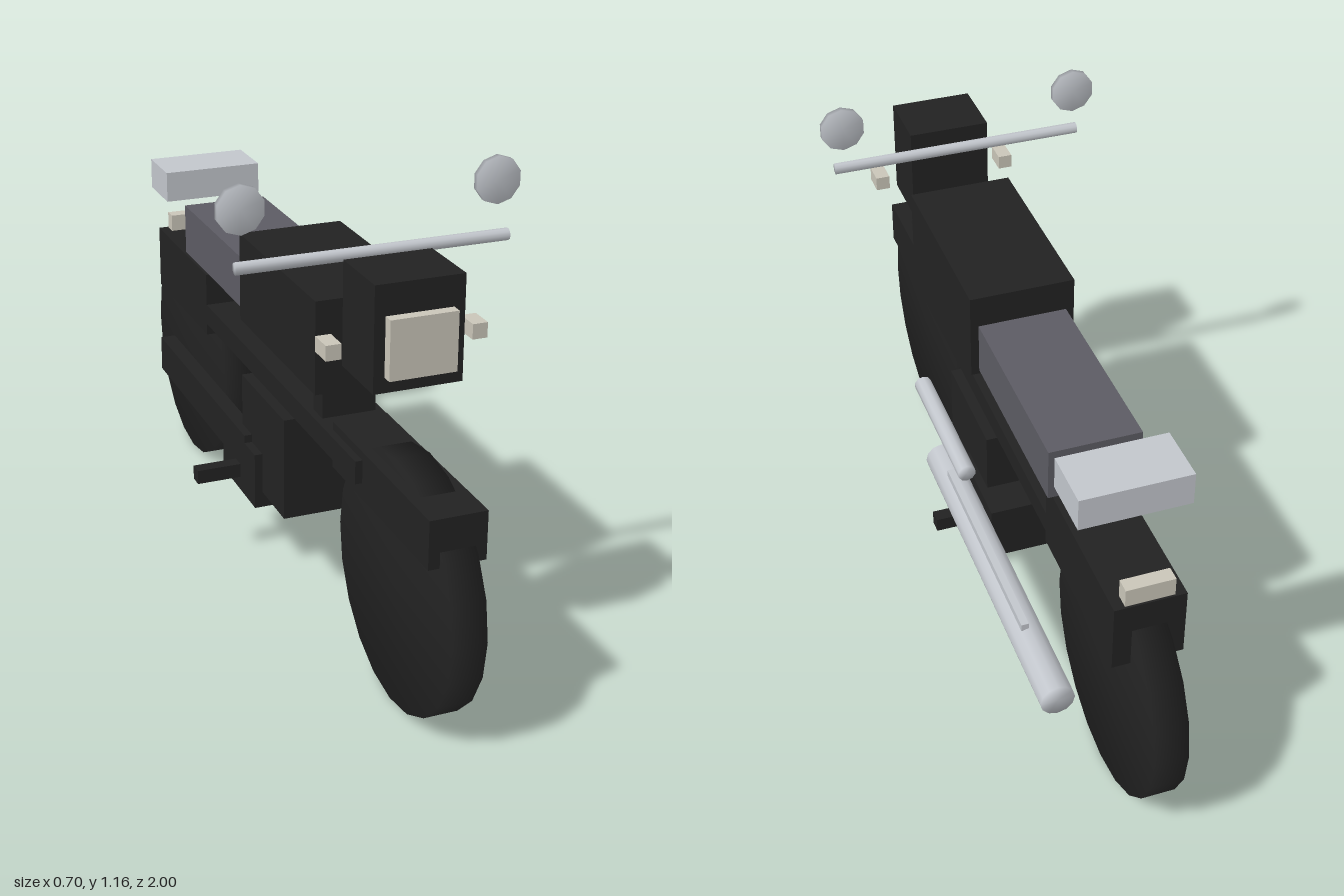
import * as THREE from 'three';
import { mergeVertices } from 'three/addons/utils/BufferGeometryUtils.js';

const material = (name, color) => {
  const m = new THREE.MeshStandardMaterial({ color });
  m.name = name;
  return m;
};

export function createModel() {
  const black = material('black', 0x222222);
  const seatGrey = material('seat grey', 0x5c5b63);
  const silver = material('silver', 0xc2c6cc);
  const cream = material('cream lens', 0xc9c5b8);

  const group = new THREE.Group();
  group.name = 'motorcycle';

  const add = (name, geometry, mat) => {
    const mesh = new THREE.Mesh(geometry, mat);
    mesh.name = name;
    group.add(mesh);
    return mesh;
  };

  // Box given by its min and max on each axis
  const box = (name, mat, [x0, x1], [y0, y1], [z0, z1]) =>
    add(name, new THREE.BoxGeometry(x1 - x0, y1 - y0, z1 - z0), mat)
      .position.set((x0 + x1) / 2, (y0 + y1) / 2, (z0 + z1) / 2);

  // Cylinder with shared normals, so the caps shade softly into the sides
  const rod = (name, mat, axis, radius, length, sides, x, y, z) => {
    let g = new THREE.CylinderGeometry(radius, radius, length, sides);
    g.deleteAttribute('normal');
    g.deleteAttribute('uv');
    g = mergeVertices(g);
    g.computeVertexNormals();
    if (axis === 'x') g.rotateZ(Math.PI / 2);
    else g.rotateX(Math.PI / 2);
    add(name, g, mat).position.set(x, y, z);
  };

  // Wheels
  rod('frontWheel', black, 'x', 0.297, 0.08, 20, 0, 0.3, 0.704);
  rod('rearWheel', black, 'x', 0.297, 0.08, 20, 0, 0.3, -0.704);

  // Frame, fenders and neck
  box('frame', black, [-0.083, 0.083], [0.49, 0.545], [-0.44, 0.59]);
  box('frontFender', black, [-0.066, 0.066], [0.452, 0.565], [0.42, 0.93]);
  box('rearFender', black, [-0.083, 0.083], [0.46, 0.63], [-0.845, -0.425]);
  box('neck', black, [-0.066, 0.066], [0.54, 0.665], [0.302, 0.357]);

  // Tank, seat and rear box
  box('tank', black, [-0.13, 0.13], [0.66, 0.88], [-0.02, 0.47]);
  box('seat', seatGrey, [-0.11, 0.11], [0.67, 0.8], [-0.51, -0.015]);
  box('rearRack', silver, [-0.13, 0.13], [0.785, 0.865], [-0.745, -0.602]);
  box('tailLight', cream, [-0.057, 0.057], [0.63, 0.675], [-0.84, -0.805]);

  // Engine, crankcase and chain cover
  box('engine', black, [-0.11, 0.11], [0.23, 0.49], [-0.07, 0.225]);
  box('crankcase', black, [-0.13, 0.13], [0.19, 0.335], [-0.165, 0.075]);
  box('chainCover', black, [-0.13, -0.09], [0.26, 0.355], [-0.7, 0]);

  // Headlight
  box('headlightHousing', black, [-0.102, 0.102], [0.76, 1.0], [0.555, 0.72]);
  box('headlight', cream, [-0.077, 0.077], [0.795, 0.93], [0.72, 0.745]);

  // Handlebar
  rod('handlebar', silver, 'x', 0.014, 0.636, 10, 0, 0.984, 0.486);

  // Paired parts
  for (const [side, s] of [['left', 1], ['right', -1]]) {
    const span = (a, b) => (s > 0 ? [a, b] : [-b, -a]);
    rod(side + 'Mirror', silver, 'z', 0.055, 0.015, 10, s * 0.298, 1.105, 0.465);
    box(side + 'TurnSignal', cream, span(0.15, 0.185), [0.825, 0.86], [0.607, 0.665]);
    box(side + 'FootPeg', black, span(0.1, 0.243), [0.226, 0.262], [-0.067, -0.033]);
  }

  // Exhaust on the left side
  rod('muffler', silver, 'z', 0.041, 0.888, 12, 0.166, 0.281, -0.3);
  rod('exhaustPipe', silver, 'z', 0.023, 0.388, 10, 0.149, 0.357, 0.168);
  box('heatShield', silver, [0.167, 0.185], [0.3, 0.336], [-0.55, 0.025]);

  return group;
}
